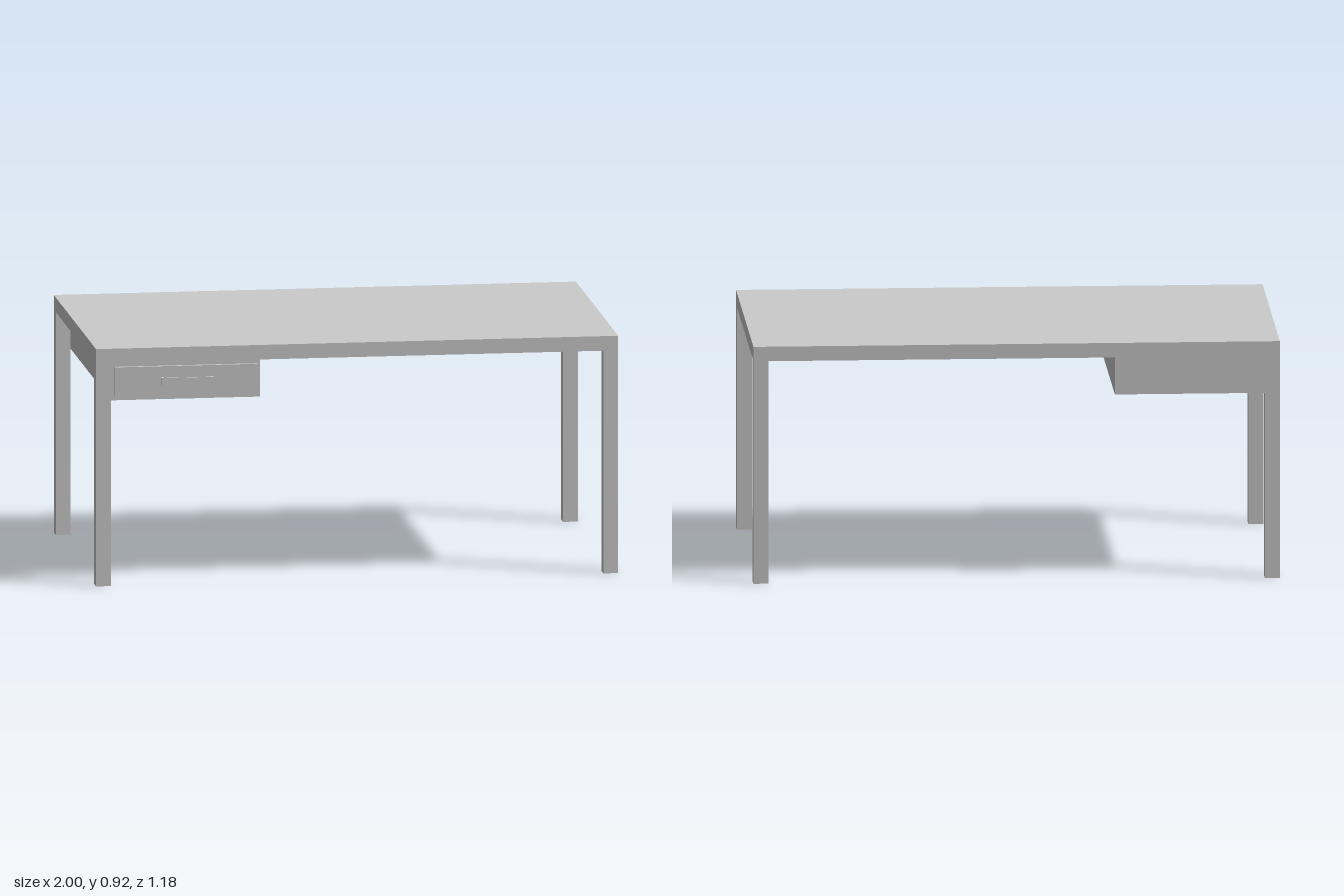
import * as THREE from 'three';

export function createModel() {
  const desk = new THREE.Group();
  desk.name = 'desk';
  const material = new THREE.MeshStandardMaterial({ color: 0xcccccc, flatShading: true });

  // Box given by its extents along each axis
  function block(name, [x0, x1], [y0, y1], [z0, z1], parent = desk) {
    const mesh = new THREE.Mesh(new THREE.BoxGeometry(x1 - x0, y1 - y0, z1 - z0), material);
    mesh.position.set((x0 + x1) / 2, (y0 + y1) / 2, (z0 + z1) / 2);
    mesh.name = name;
    parent.add(mesh);
  }

  const back = -0.59, front = 0.556, height = 0.915, under = 0.859, leg = 0.057;

  // Table top
  block('tableTop', [-1, 1], [under, height], [back, front]);

  // Four square legs, flush with the corners of the top
  for (const [side, x] of [['right', -1], ['left', 1 - leg]]) {
    block(side + 'FrontLeg', [x, x + leg], [0, under], [front - leg, front]);
    block(side + 'BackLeg', [x, x + leg], [0, under], [back, back + leg]);
  }

  // Drawer case between the right legs, full depth
  block('drawerCase', [-1 + leg, -0.373], [0.716, under], [back, front]);

  // Drawer front with a bracket handle
  const drawer = new THREE.Group();
  drawer.name = 'drawer';
  desk.add(drawer);
  const face = 0.569, tip = 0.59, bar = 0.006;
  block('drawerFront', [-0.929, -0.385], [0.731, 0.845], [front, face], drawer);
  block('handleBar', [-0.754, -0.554], [0.775, 0.803], [tip - bar, tip], drawer);
  for (const x of [-0.754, -0.565]) {
    block('handlePost', [x, x + 0.011], [0.775, 0.803], [face, tip - bar], drawer);
  }

  return desk;
}
